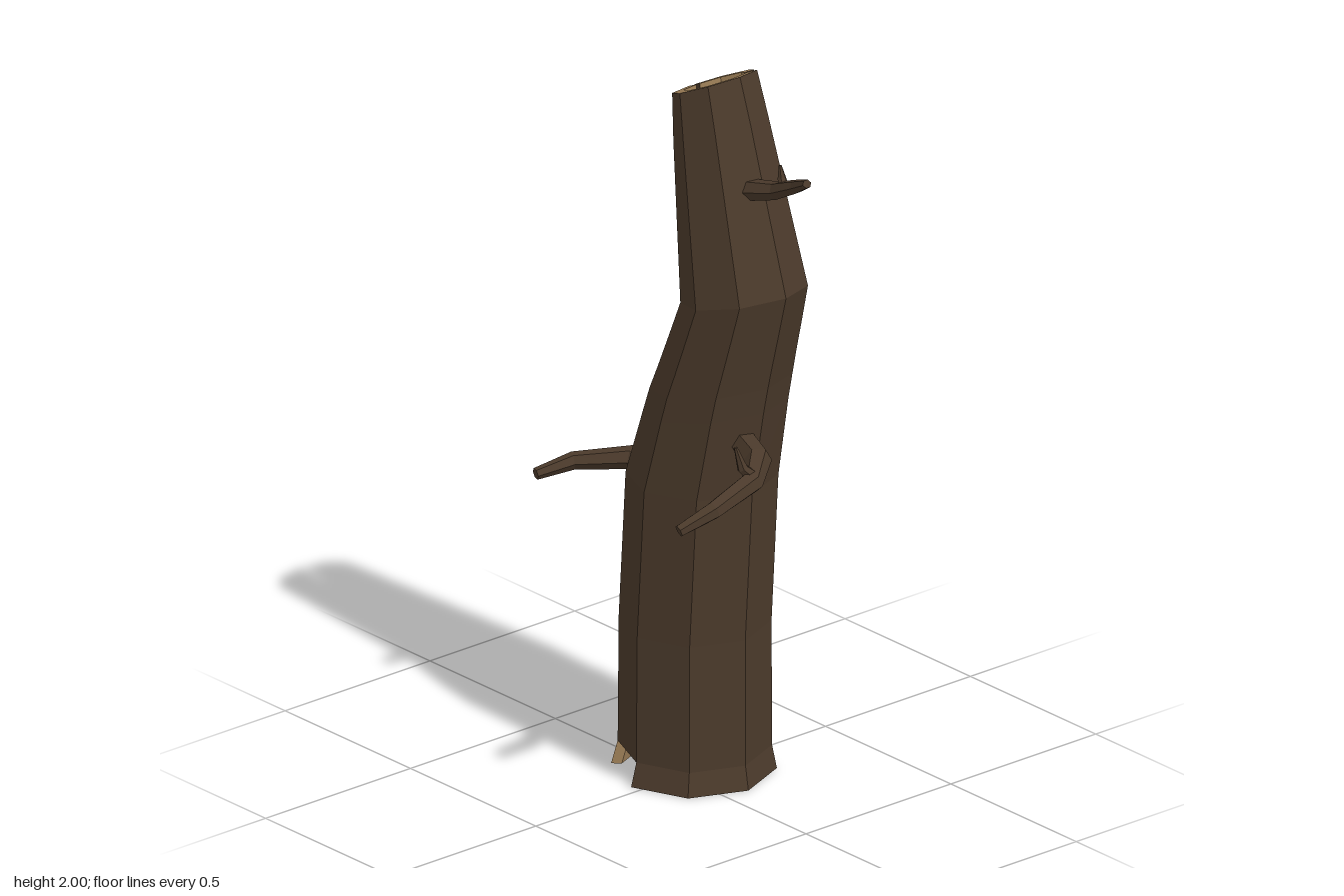
import * as THREE from 'three';

const V = (x, y, z) => new THREE.Vector3(x, y, z);

// Flat-shaded geometry from a list of four-cornered faces
function quadGeometry(quads) {
  const pos = [];
  for (const [a, b, c, d] of quads) {
    for (const p of [a, b, c, a, c, d]) pos.push(p.x, p.y, p.z);
  }
  const g = new THREE.BufferGeometry();
  g.setAttribute('position', new THREE.Float32BufferAttribute(pos, 3));
  g.computeVertexNormals();
  return g;
}

// Trunk rings from the ground up; tilt raises the front of a ring
const levels = [
  { y: 0, cx: 0.072, cz: -0.03, rx: 0.217, rz: 0.217, tilt: 0 },
  { y: 0.065, cx: 0.075, cz: -0.03, rx: 0.202, rz: 0.202, tilt: 0 },
  { y: 0.42, cx: 0.076, cz: -0.03, rx: 0.2, rz: 0.2, tilt: 0 },
  { y: 0.84, cx: 0.078, cz: -0.005, rx: 0.2, rz: 0.2, tilt: 0.02 },
  { y: 1.05, cx: 0.086, cz: 0.041, rx: 0.19, rz: 0.19, tilt: 0.17 },
  { y: 1.12, cx: 0.089, cz: 0.058, rx: 0.187, rz: 0.187, tilt: 0.2 },
  { y: 1.19, cx: 0.091, cz: 0.08, rx: 0.181, rz: 0.181, tilt: 0.21 },
  { y: 1.29, cx: 0.095, cz: 0.11, rx: 0.174, rz: 0.174, tilt: 0.23 },
  { y: 1.39, cx: 0.098, cz: 0.14, rx: 0.167, rz: 0.167, tilt: 0.25 },
  { y: 1.83, cx: 0.1, cz: 0.045, rx: 0.13, rz: 0.118, tilt: 0.42 },
  { y: 1.955, cx: 0.1, cz: 0.02, rx: 0.12, rz: 0.101, tilt: 0.45 },
];
const WALL = 0.028;
const TOP_ROW = levels.length - 2;

// Point on the eight-sided wall; u counts corners from +x towards +z
function wallPoint(u, level, inner) {
  const L = levels[level], t = inner ? WALL : 0;
  const corner = k => V(
    L.cx + (L.rx - t) * Math.cos(k * Math.PI / 4), 0,
    L.cz + (L.rz - t) * Math.sin(k * Math.PI / 4));
  const k = Math.floor(u);
  const p = corner(k).lerp(corner(k + 1), u - k);
  p.y = L.y + L.tilt * (p.z - L.cz);
  return p;
}

// Column edges; those given level by level outline the knot hole and the splits
const holeBack = [0.3, 0.3, 0.3, 0.3, 0.41, 0.09, 0.12, 0.3, 0.3, 0.5, 0.45];
const holeMiddle = [0.5, 0.5, 0.5, 0.5, 0.6, 0.7, 0.62, 0.68, 0.68, 0.85, 0.6];
const holeFront = [0.7, 0.7, 0.7, 0.7, 0.78, 0.92, 0.78, 0.68, 0.68, 0.85, 0.9];
const backSplit = [6.22, 6.2, 6, 6, 6, 6, 6, 6, 6, 6, 6.16];
const edges = [0, holeBack, holeMiddle, holeFront, 1, 2, 3, 4, 5, 6, backSplit, 7, 8];

// Open cells: rows by column, and the columns broken off at the foot
const knotCells = { 1: [4, 5], 2: [4, 5, 6] };
const splitCells = { 2: [TOP_ROW], 9: [0, 1, TOP_ROW] };
const notchedColumns = [0, 1, 2, 3, 7, 10];

function buildTrunk(mats) {
  const bark = [], wood = [], knot = [];
  const cols = edges.length - 1, rows = levels.length - 1;
  const at = (e, l) => (typeof edges[e] === 'number' ? edges[e] : edges[e][l]);
  const isIn = (cells, c, r) => Boolean(cells[c] && cells[c].includes(r));
  const solid = (c, r) => {
    const col = (c + cols) % cols;
    return r >= 0 && r < rows && !(r === 0 && notchedColumns.includes(col))
      && !isIn(knotCells, col, r) && !isIn(splitCells, col, r);
  };
  for (let c = 0; c < cols; c++) {
    for (let r = 0; r < rows; r++) {
      const corners = inner => [
        wallPoint(at(c + 1, r), r, inner), wallPoint(at(c, r), r, inner),
        wallPoint(at(c, r + 1), r + 1, inner), wallPoint(at(c + 1, r + 1), r + 1, inner),
      ];
      const o = corners(false), i = corners(true);
      if (isIn(knotCells, c, r)) knot.push(i);
      if (!solid(c, r)) continue;
      bark.push(o);
      wood.push([i[1], i[0], i[3], i[2]]);
      // broken edges of the wall; the sides of the upper splits are bark
      const rim = (a, b, list) => list.push([o[b], o[a], i[a], i[b]]);
      const sides = r === TOP_ROW ? bark : wood;
      if (!solid(c, r - 1)) rim(0, 1, wood);
      if (!solid(c - 1, r)) rim(1, 2, sides);
      if (!solid(c, r + 1)) rim(2, 3, wood);
      if (!solid(c + 1, r)) rim(3, 0, sides);
    }
  }
  const trunk = new THREE.Group();
  trunk.name = 'trunk';
  const add = (quads, mat, name) => {
    const m = new THREE.Mesh(quadGeometry(quads), mat);
    m.name = name;
    trunk.add(m);
  };
  add(bark, mats.bark, 'trunkBark');
  add(wood, mats.wood, 'trunkWood');
  add(knot, mats.wood, 'knotHoleFloor');
  return trunk;
}

// Tapered six-sided limb through points [x, y, z, radius], closed at both ends
function limb(path, mat, name) {
  const N = 6, pts = path.map(p => V(p[0], p[1], p[2]));
  const last = pts.length - 1;
  let side = null;
  const rings = pts.map((p, i) => {
    const dir = pts[Math.min(i + 1, last)].clone().sub(pts[Math.max(i - 1, 0)]).normalize();
    if (!side) side = V(0, 1, 0).cross(dir).lengthSq() > 0.1 ? V(0, 1, 0).cross(dir) : V(1, 0, 0);
    side = side.clone().addScaledVector(dir, -side.dot(dir)).normalize();
    const up = dir.clone().cross(side);
    return Array.from({ length: N }, (_, k) => {
      const a = k * 2 * Math.PI / N;
      return p.clone().addScaledVector(side, path[i][3] * Math.cos(a)).addScaledVector(up, path[i][3] * Math.sin(a));
    });
  });
  const quads = [];
  for (let k = 0; k < N; k++) {
    const n = (k + 1) % N;
    for (let i = 0; i < last; i++) quads.push([rings[i][k], rings[i][n], rings[i + 1][n], rings[i + 1][k]]);
    quads.push([rings[last][k], rings[last][n], pts[last], pts[last]]);
    quads.push([rings[0][n], rings[0][k], pts[0], pts[0]]);
  }
  const m = new THREE.Mesh(quadGeometry(quads), mat);
  m.name = name;
  return m;
}

export function createModel() {
  const material = (name, color, options = {}) => {
    const m = new THREE.MeshStandardMaterial({ color, flatShading: true, ...options });
    m.name = name;
    return m;
  };
  const mats = {
    bark: material('bark', 0x4b3a2b),
    wood: material('bare wood', 0xa08159, { side: THREE.DoubleSide }),
  };
  const model = new THREE.Group();
  model.name = 'deadTree';
  model.add(buildTrunk(mats));

  // Branches, each with one twig
  const branches = {
    middleBranch: [
      [[0.05, 0.995, 0.2, 0.038], [0.02, 0.988, 0.285, 0.037], [-0.045, 0.962, 0.338, 0.031], [-0.19, 0.925, 0.351, 0.025], [-0.287, 0.885, 0.325, 0.017]],
      [[-0.035, 0.97, 0.335, 0.018], [-0.065, 1.0, 0.322, 0.015], [-0.08, 1.06, 0.312, 0.005]],
    ],
    upperBranch: [
      [[0.075, 1.71, 0.19, 0.03], [0.085, 1.735, 0.285, 0.025], [0.07, 1.782, 0.38, 0.019], [0.038, 1.825, 0.46, 0.012]],
      [[0.08, 1.745, 0.325, 0.015], [0.088, 1.775, 0.302, 0.012], [0.088, 1.81, 0.295, 0.004]],
    ],
    lowerBranch: [
      [[0.125, 0.71, -0.17, 0.038], [0.13, 0.733, -0.24, 0.037], [0.118, 0.764, -0.337, 0.032], [0.0, 0.757, -0.43, 0.024], [-0.105, 0.74, -0.457, 0.016]],
      [[0.12, 0.75, -0.315, 0.018], [0.135, 0.715, -0.33, 0.014], [0.135, 0.65, -0.338, 0.004]],
    ],
  };
  for (const [name, [arm, twig]] of Object.entries(branches)) {
    const g = new THREE.Group();
    g.name = name;
    g.add(limb(arm, mats.bark, 'branchArm'), limb(twig, mats.bark, 'twig'));
    model.add(g);
  }
  return model;
}
